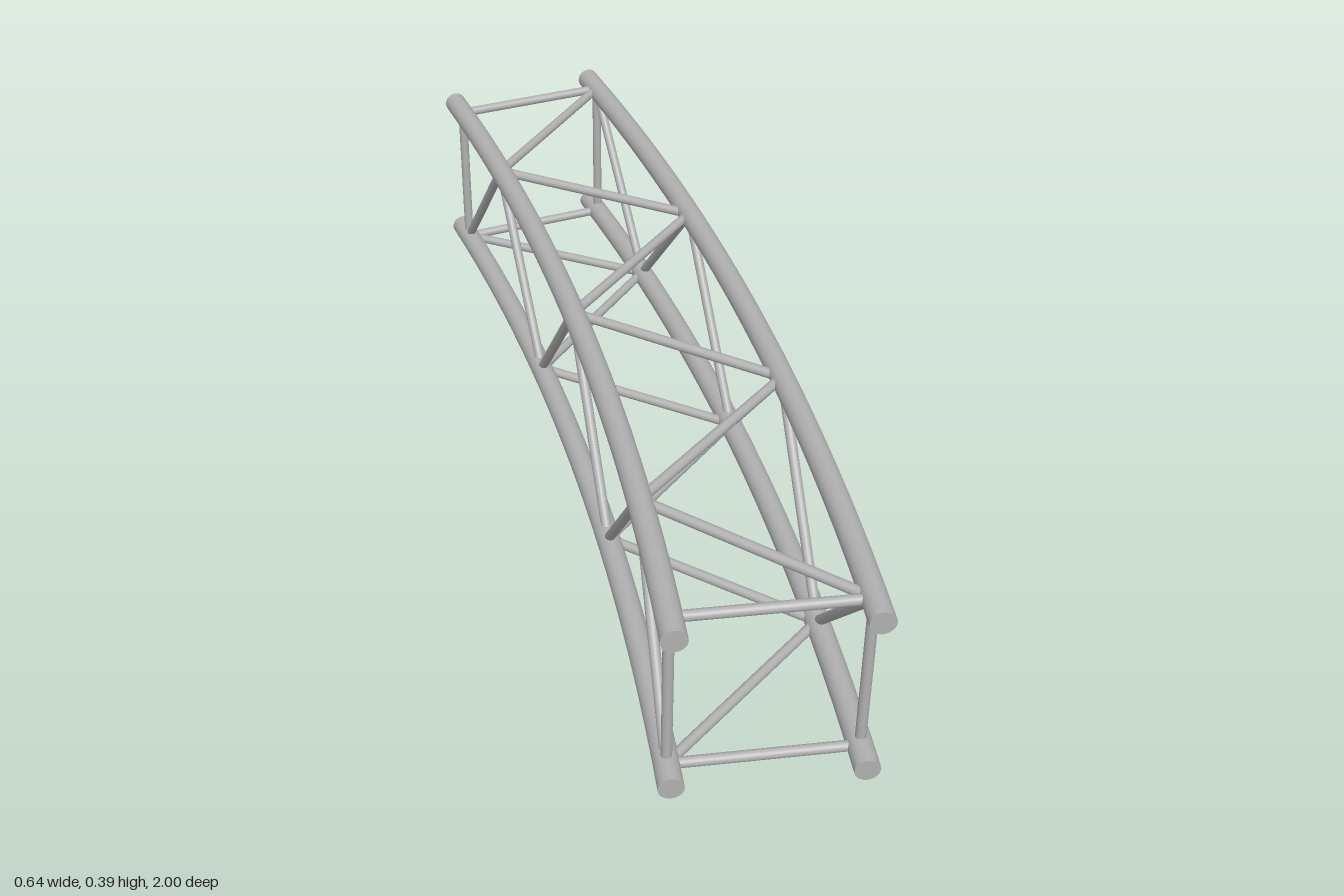
import * as THREE from 'three';

const RAD = Math.PI / 180;
const SWEEP = 15 * RAD;                // angle of the curved truss
const CENTRE_X = -7.4095, FRONT_Z = 1; // centre of the bend
const INNER = 7.364, OUTER = 7.704;    // bend radii of the chords
const CHORD_R = 0.0235, BRACE_R = 0.01;
const LOW = CHORD_R, HIGH = LOW + 0.34;
const PANELS = 6, MARGIN = 0.45 * RAD;

// Point on the bend at a given radius, angle and height
const arcPoint = (radius, a, y) =>
  new THREE.Vector3(CENTRE_X + radius * Math.cos(a), y, FRONT_Z - radius * Math.sin(a));

// Capped cylinder bent along the arc, normals turned with it
function chordGeometry(radius, y) {
  const g = new THREE.CylinderGeometry(CHORD_R, CHORD_R, 1, 24, 24);
  const p = g.attributes.position, n = g.attributes.normal;
  for (let i = 0; i < p.count; i++) {
    const a = (p.getY(i) + 0.5) * SWEEP, c = Math.cos(a), s = Math.sin(a);
    const v = arcPoint(radius + p.getX(i), a, y + p.getZ(i));
    p.setXYZ(i, v.x, v.y, v.z);
    const nx = n.getX(i), ny = n.getY(i), nz = n.getZ(i);
    n.setXYZ(i, nx * c - ny * s, nz, -nx * s - ny * c);
  }
  return g;
}

export function createModel() {
  const group = new THREE.Group();
  group.name = 'curvedTruss';
  const metal = new THREE.MeshStandardMaterial({ color: 0xb0b0b0 });
  metal.name = 'aluminium';

  const add = (geometry, name) => {
    const mesh = new THREE.Mesh(geometry, metal);
    mesh.name = name;
    group.add(mesh);
    return mesh;
  };

  // Straight round bar between two points
  const bar = (a, b, name) => {
    const dir = b.clone().sub(a);
    const mesh = add(new THREE.CylinderGeometry(BRACE_R, BRACE_R, dir.length(), 16), name);
    mesh.position.copy(a).add(b).multiplyScalar(0.5);
    mesh.quaternion.setFromUnitVectors(new THREE.Vector3(0, 1, 0), dir.normalize());
  };

  // Four main chords
  for (const [radius, side] of [[INNER, 'inner'], [OUTER, 'outer']])
    for (const [y, level] of [[LOW, 'Lower'], [HIGH, 'Upper']])
      add(chordGeometry(radius, y), side + level + 'Chord');

  const step = (SWEEP - 2 * MARGIN) / PANELS;
  const node = (radius, k, y) => arcPoint(radius, MARGIN + k * step, y);

  // Square frame at each end
  for (const [k, end] of [[0, 'front'], [PANELS, 'back']]) {
    for (const y of [LOW, HIGH]) bar(node(INNER, k, y), node(OUTER, k, y), end + 'CrossBar');
    for (const r of [INNER, OUTER]) bar(node(r, k, LOW), node(r, k, HIGH), end + 'Post');
  }

  // Zigzag diagonals on all four faces, meeting at shared nodes
  for (let k = 0; k < PANELS; k++) {
    const even = k % 2 === 0;
    const here = [node(INNER, k, even ? LOW : HIGH), node(OUTER, k, even ? HIGH : LOW)];
    const next = [node(INNER, k + 1, even ? HIGH : LOW), node(OUTER, k + 1, even ? LOW : HIGH)];
    bar(here[0], next[0], 'innerSideDiagonal');
    bar(here[1], next[1], 'outerSideDiagonal');
    bar(here[0], next[1], even ? 'bottomDiagonal' : 'topDiagonal');
    bar(here[1], next[0], even ? 'topDiagonal' : 'bottomDiagonal');
  }
  return group;
}
